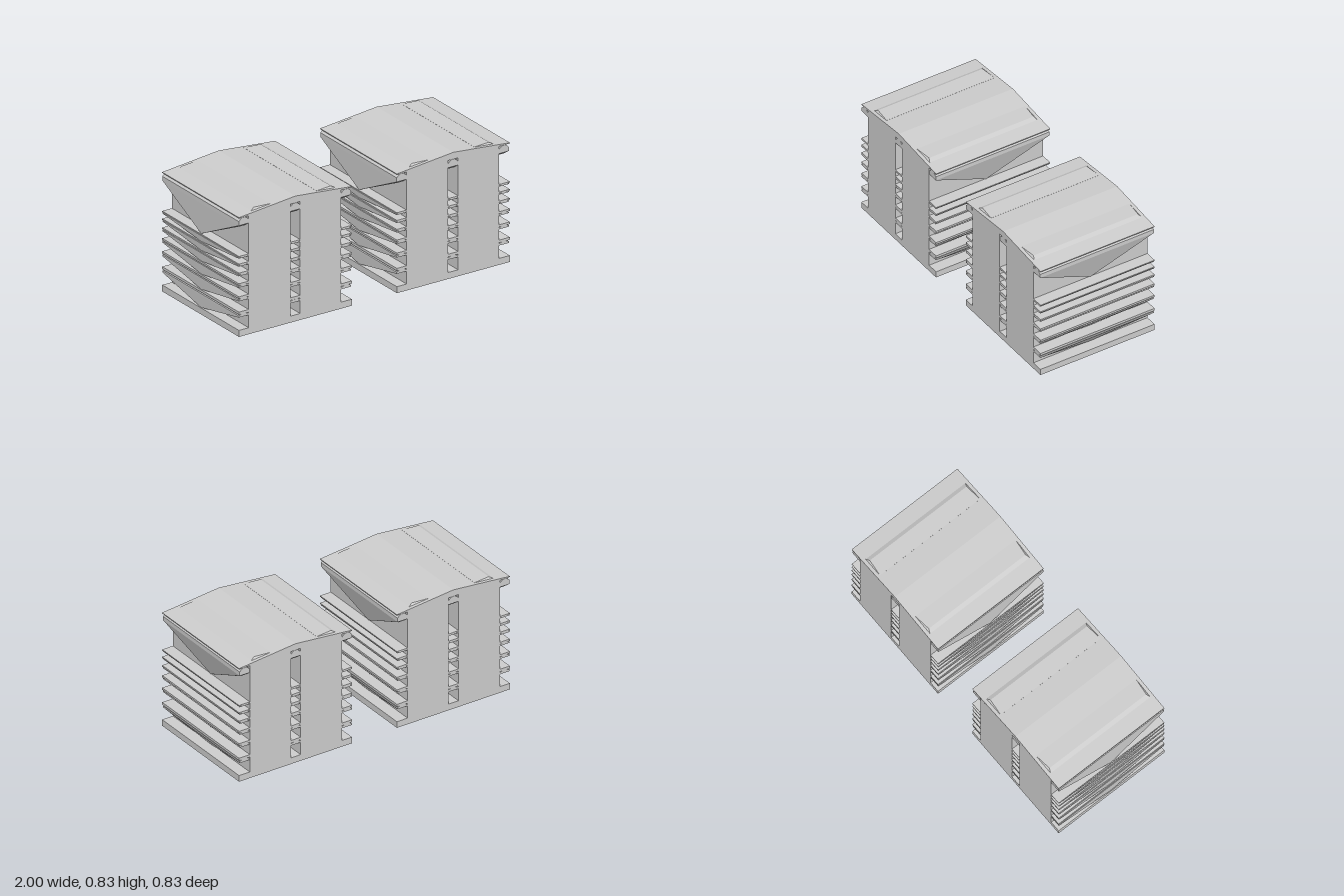
import * as THREE from 'three';
import { ConvexGeometry } from 'three/addons/geometries/ConvexGeometry.js';

const HALF = 0.417, DEPTH = 0.83;
const grey = new THREE.MeshStandardMaterial({ color: 0xcccccc, flatShading: true, side: THREE.DoubleSide });

function add(parent, name, geometry, x = 0, y = 0, z = 0) {
  const mesh = new THREE.Mesh(geometry, grey);
  mesh.name = name;
  mesh.position.set(x, y, z);
  parent.add(mesh);
  return mesh;
}

// Box between two x and two y values, running the full depth
function slab(parent, name, x0, x1, y0, y1) {
  add(parent, name, new THREE.BoxGeometry(x1 - x0, y1 - y0, DEPTH), (x0 + x1) / 2, (y0 + y1) / 2);
}

// Outline in x and y, extruded along z
function prism(points, depth) {
  const shape = new THREE.Shape(points.map(([x, y]) => new THREE.Vector2(x, y)));
  return new THREE.ExtrudeGeometry(shape, { depth, bevelEnabled: false }).translate(0, 0, -depth / 2);
}

// Faceted rail along z that narrows down to a single foot at mid depth
function bracket(x0, width, y0, y1) {
  const h = y1 - y0, points = [new THREE.Vector3(x0 + 0.004, y0, 0)];
  for (let i = 0; i < 8; i++) {
    const a = (i + 0.5) * Math.PI / 4;
    const x = x0 + width / 2 + Math.cos(a) * width * 0.54;
    const y = y0 + h * (0.86 + Math.sin(a) * 0.14);
    const end = Math.sin(a) < -0.8 ? 0.39 : 0.413;
    for (const z of [-end, end]) points.push(new THREE.Vector3(x, y, z));
  }
  return new ConvexGeometry(points);
}

function tower() {
  const g = new THREE.Group();

  // Base and the two tall blocks
  slab(g, 'base', -HALF, HALF, 0, 0.043);
  slab(g, 'rightBlock', -0.345, -0.038, 0.043, 0.795);
  slab(g, 'leftBlock', 0.035, 0.338, 0.043, 0.795);

  // Storeys: lower and upper limit of each gap, with a thin shelf above
  const storeys = [[0.043, 0.148], [0.165, 0.253], [0.267, 0.341], [0.354, 0.415],
    [0.425, 0.477], [0.485, 0.529], [0.536, 0.79]];
  storeys.forEach(([y0, y1], i) => {
    const next = storeys[i + 1];
    for (const x of [-HALF, -0.038, 0.338]) {
      const w = 0.073;
      add(g, 'bracket', bracket(x, w, y0, y1));
      if (next) slab(g, 'shelf', x, x + (x > 0.3 ? 0.079 : w), y1, next[0]);
    }
  });

  // Low gabled roof
  add(g, 'roof', prism([[-HALF, 0.79], [HALF, 0.79], [HALF, 0.795], [0, 0.835], [-HALF, 0.795]], DEPTH));

  // Flat raised panel on each slope, bevelled on the outer edge and ends
  for (const s of [-1, 1]) {
    const pts = [];
    for (const e of [-1, 1]) {
      for (const [x, y, z] of [[0.315, 0.803, 0.393], [0.285, 0.819, 0.38],
        [0.17, 0.8195, 0.393], [0.17, 0.803, 0.393]]) {
        pts.push(new THREE.Vector3(s * x, y, e * z));
      }
    }
    add(g, 'roofPanel', new ConvexGeometry(pts));
  }
  return g;
}

export function createModel() {
  const model = new THREE.Group();
  model.name = 'twinTowers';
  for (const s of [-1, 1]) {
    const t = tower();
    t.name = s < 0 ? 'rightTower' : 'leftTower';
    t.position.x = s * 0.583;
    model.add(t);
  }
  return model;
}
